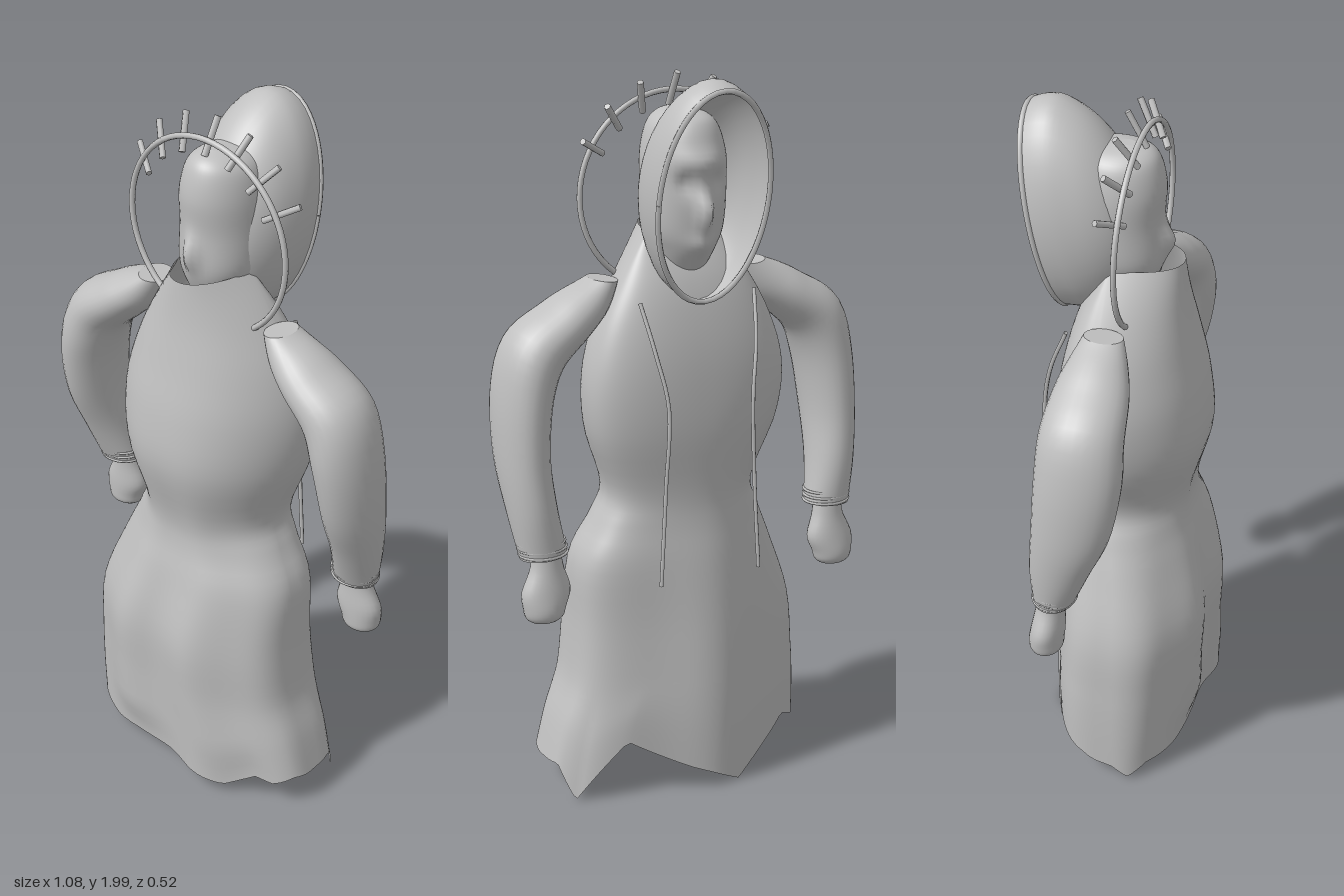
import * as THREE from 'three';

const cloth = new THREE.MeshStandardMaterial({ color: 0xc0c0c0, side: THREE.DoubleSide });
cloth.name = 'plainGrey';

// Smoothly resample a table of stations, column by column (Catmull-Rom)
function resample(rows, n) {
  const out = [], last = rows.length - 1;
  for (let k = 0; k <= n; k++) {
    const u = (k / n) * last, i = Math.min(Math.floor(u), last - 1), t = u - i;
    const a = rows[Math.max(i - 1, 0)], b = rows[i], c = rows[i + 1], d = rows[Math.min(i + 2, last)];
    out.push(b.map((v, j) => 0.5 * (2 * v + (c[j] - a[j]) * t
      + (2 * a[j] - 5 * v + 4 * c[j] - d[j]) * t * t
      + (3 * v - a[j] - 3 * c[j] + d[j]) * t * t * t)));
  }
  return out;
}

// Skin closed rings (listed from top to bottom); point(row, angle) returns [x, y, z]
function loft(rows, sides, point, capped) {
  const pos = [], idx = [], n = rows.length;
  for (const r of rows) {
    for (let s = 0; s < sides; s++) pos.push(...point(r, (s / sides) * Math.PI * 2));
  }
  for (let i = 0; i < n - 1; i++) {
    for (let s = 0; s < sides; s++) {
      const a = i * sides + s, b = i * sides + (s + 1) % sides;
      idx.push(a, b, a + sides, b, b + sides, a + sides);
    }
  }
  for (const row of capped ? [0, n - 1] : []) {
    const c = [0, 0, 0], o = pos.length / 3;
    for (let s = 0; s < sides; s++) {
      for (let j = 0; j < 3; j++) {
        const v = pos[(row * sides + s) * 3 + j];
        c[j] += v / sides;
        pos.push(v);
      }
    }
    pos.push(...c);
    for (let s = 0; s < sides; s++) {
      const a = o + s, b = o + (s + 1) % sides;
      idx.push(...(row === 0 ? [b, a, o + sides] : [a, b, o + sides]));
    }
  }
  const g = new THREE.BufferGeometry();
  g.setAttribute('position', new THREE.Float32BufferAttribute(pos, 3));
  g.setIndex(idx);
  g.computeVertexNormals();
  return g;
}

function add(parent, name, geo, at = [0, 0, 0]) {
  const m = new THREE.Mesh(geo, cloth);
  m.name = name;
  m.position.set(...at);
  parent.add(m);
  return m;
}

const tube = (pts, r, n = 24) =>
  new THREE.TubeGeometry(new THREE.CatmullRomCurve3(pts.map(p => new THREE.Vector3(...p))), n, r, 6);
const pw = (v, p) => Math.sign(v) * Math.abs(v) ** p;
const bump = (v, centre, width) => Math.exp(-(((v - centre) / width) ** 2));

// Ragged hem height around the robe: [degrees from +x toward +z, y]
const hem = [[0, 0.1], [14, 0.11], [32, 0.09], [45, 0.1], [62, 0.045], [90, 0.07], [108, 0.07], [125, 0.05],
  [150, 0.06], [168, 0.02], [190, 0.09], [220, 0.14], [254, 0.01], [300, 0.18], [332, 0.01], [348, 0.11], [360, 0.1]];
function hemAt(deg) {
  const i = Math.max(1, hem.findIndex(h => h[0] >= deg));
  const [a, ya] = hem[i - 1], [b, yb] = hem[i];
  return ya + (yb - ya) * (deg - a) / (b - a);
}

function robe() {
  // y, min x, max x, front z, back z
  const rows = resample([
    [1.585, -0.10, 0.10, 0.152, -0.03], [1.47, -0.18, 0.18, 0.165, -0.10], [1.34, -0.25, 0.25, 0.19, -0.14],
    [1.2, -0.29, 0.285, 0.22, -0.16], [1.05, -0.275, 0.275, 0.232, -0.16], [0.88, -0.205, 0.22, 0.195, -0.135],
    [0.79, -0.23, 0.25, 0.195, -0.13], [0.68, -0.275, 0.305, 0.225, -0.135], [0.5, -0.34, 0.315, 0.265, -0.14],
    [0.32, -0.355, 0.335, 0.262, -0.15], [0.16, -0.36, 0.375, 0.258, -0.155], [0, -0.36, 0.405, 0.255, -0.155]], 48);
  return loft(rows, 112, ([y, x0, x1, zf, zb], t) => {
    // chest: ridged front; skirt: fuller, with folds and a bulge down the middle of the back
    const low = THREE.MathUtils.smoothstep(-y, -1.2, -0.4), sn = Math.sin(t);
    const u = pw(Math.cos(t), 0.9), cz = THREE.MathUtils.lerp(-0.02, 0.06, low);
    const fold = 1 - (0.025 + 0.1 * low) * (0.5 + 0.5 * Math.cos(u * 8.2)) * low ** 0.5;
    const x = (x0 + x1) / 2 + (x1 - x0) / 2 * u;
    const z = sn > 0
      ? (zf - cz) * pw(sn, 1.3 - 0.4 * low) * fold
      : (cz - zb) * pw(sn, 0.65 - 0.15 * low) - 0.045 * low * bump(x, -0.03, 0.13);
    // spread the lowest rows down to the ragged hem line, tucked under between the folds
    const h = hemAt(t * 180 / Math.PI);
    const yy = y < 0.35 ? h + (y / 0.35) * (0.35 - h) : y;
    const tuck = 1 - 0.07 * THREE.MathUtils.smoothstep(-y, -0.16, 0) * (1 + Math.cos(6 * t - 11.5)) * Math.max(sn, 0);
    return [x, yy, cz + z * tuck];
  }, false);
}

function head() {
  // y, front z, back z, half width
  const rows = resample([[1.905, 0.02, -0.02, 0.015], [1.892, 0.062, -0.1, 0.058], [1.86, 0.086, -0.135, 0.09],
    [1.79, 0.1, -0.155, 0.108], [1.7, 0.095, -0.155, 0.111], [1.6, 0.1, -0.145, 0.108],
    [1.54, 0.085, -0.13, 0.085], [1.48, 0.05, -0.09, 0.06]], 40);
  return loft(rows, 48, ([y, f, b, w], t) => {
    const c = Math.cos(t);
    let z = (f + b) / 2 + (f - b) / 2 * Math.sin(t);
    if (t < Math.PI) z += 0.028 * bump(c, 0, 0.2) * bump(y, 1.645, 0.045); // knot
    else {
      z -= 0.045 * bump(c, 0, 0.17) * bump(y, 1.65, 0.045); // nose
      z -= 0.015 * bump(c, 0, 0.7) * bump(y, 1.78, 0.03); // brow
      z += 0.018 * bump(Math.abs(c), 0.42, 0.2) * bump(y, 1.725, 0.03); // eye hollows
      z -= 0.015 * bump(c, 0, 0.35) * bump(y, 1.56, 0.03); // chin
    }
    return [w * c, y, z];
  }, true);
}

function hood() {
  // centre y, centre z, half height, half width
  const rows = resample([[1.695, -0.205, 0.285, 0.163], [1.705, -0.165, 0.292, 0.166], [1.71, -0.12, 0.287, 0.162],
    [1.715, -0.06, 0.245, 0.145], [1.715, -0.01, 0.185, 0.115], [1.715, 0.03, 0.1, 0.07]], 20);
  return loft(rows, 40, ([cy, cz, h, w], t) =>
    [w * Math.cos(t), cy + h * Math.sin(t), cz - 0.19 * h * Math.sin(t)], false);
}

function arm() {
  const g = new THREE.Group();
  // centre x, y, z, half width, half depth, tilt of the section
  const sleeve = resample([[0.222, 1.468, 0.003, 0.04, 0.052, -0.12], [0.27, 1.415, 0.004, 0.06, 0.078, -0.6],
    [0.33, 1.368, 0.005, 0.07, 0.098, -0.75], [0.42, 1.295, 0.006, 0.083, 0.11, -0.6], [0.458, 1.18, 0.006, 0.077, 0.115, -0.15],
    [0.47, 1.02, -0.012, 0.07, 0.105, 0], [0.46, 0.88, -0.046, 0.066, 0.082, 0.1], [0.44, 0.755, -0.07, 0.066, 0.056, 0.05]], 32);
  add(g, 'sleeve', loft(sleeve, 28, ([x, y, z, w, d, a], t) =>
    [x + w * Math.cos(t) * Math.cos(a), y - w * Math.cos(t) * Math.sin(a), z + d * Math.sin(t)], true));
  for (let i = 0; i < 3; i++) {
    const ring = add(g, 'cuffRing', new THREE.TorusGeometry(0.066, 0.004, 6, 28), [0.44 + i * 0.002, 0.762 + i * 0.015, -0.069 + i * 0.003]);
    ring.scale.y = 0.88;
    ring.rotation.x = Math.PI / 2;
  }
  const hand = resample([[0.437, 0.77, -0.08, 0.04, 0.035], [0.437, 0.72, -0.084, 0.047, 0.037], [0.442, 0.66, -0.088, 0.069, 0.044],
    [0.449, 0.615, -0.092, 0.06, 0.047], [0.45, 0.59, -0.092, 0.053, 0.044], [0.45, 0.578, -0.092, 0.04, 0.032]], 18);
  add(g, 'hand', loft(hand, 24, ([x, y, z, w, d], t) => [x + w * Math.cos(t), y, z + d * Math.sin(t)], true));
  // thin cord hanging down the back
  add(g, 'cord', tube([[0.17, 1.42, -0.115], [0.15, 1.29, -0.165], [0.127, 1.15, -0.193], [0.135, 0.92, -0.19], [0.15, 0.65, -0.192]], 0.006));
  return g;
}

export function createModel() {
  const model = new THREE.Group();
  model.name = 'robedFigure';
  add(model, 'robe', robe());
  add(model, 'head', head());

  // Hood with its rolled edge
  add(model, 'hood', hood());
  const rim = [];
  for (let i = 0; i <= 40; i++) {
    const t = (i / 40) * Math.PI * 2, s = Math.sin(t) * 0.283;
    rim.push([0.161 * Math.cos(t), 1.695 + s, -0.205 - 0.19 * s]);
  }
  add(model, 'hoodRim', tube(rim, 0.008, 60));

  // Arms, mirrored
  for (const side of [1, -1]) {
    const a = arm();
    a.name = side > 0 ? 'leftArm' : 'rightArm';
    a.scale.x = side;
    model.add(a);
  }

  // Halo ring with seven leaning rays
  const halo = new THREE.Group();
  halo.name = 'halo';
  halo.position.set(0, 1.675, 0.042);
  add(halo, 'haloRing', new THREE.TorusGeometry(0.265, 0.008, 8, 64));
  for (let i = 0; i < 7; i++) {
    const spoke = new THREE.Group();
    spoke.name = 'haloRay';
    spoke.rotation.z = THREE.MathUtils.degToRad(-60 + i * 20);
    const ray = add(spoke, 'ray', new THREE.CylinderGeometry(0.009, 0.009, 0.105, 6), [0, 0.27, -0.018]);
    ray.rotation.x = -0.5;
    halo.add(spoke);
  }
  model.add(halo);
  return model;
}
